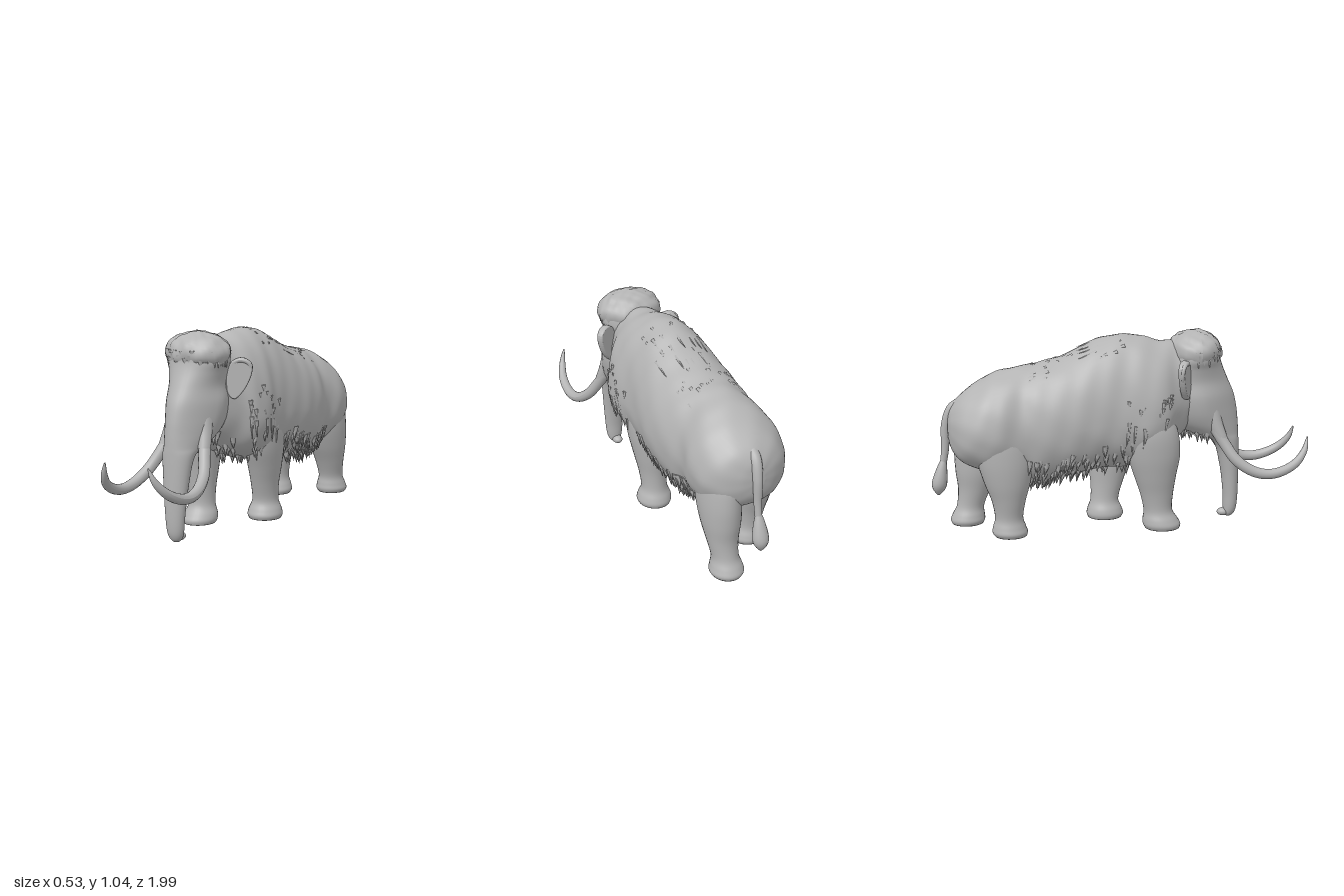
import * as THREE from 'three';
import { mergeGeometries } from 'three/addons/utils/BufferGeometryUtils.js';

const grey = new THREE.MeshStandardMaterial({ color: 0xb4b4b4 });
grey.name = 'stone grey';

let seed = 7;
const rnd = () => (seed = (seed * 16807) % 2147483647) / 2147483647;
const span = (a, b) => a + (b - a) * rnd();

// Smoothly interpolated row of a section table, t in 0..1
function rowAt(rows, t) {
  const n = rows.length - 1, i = Math.min(Math.floor(t * n), n - 1), u = t * n - i;
  const r = k => rows[Math.max(0, Math.min(n, k))];
  return rows[0].map((_, c) => {
    const a = r(i - 1)[c], b = r(i)[c], d = r(i + 1)[c], e = r(i + 2)[c];
    const m = (d - a) / 2, q = (e - b) / 2;
    return b + u * (m + u * (3 * (d - b) - 2 * m - q + u * (2 * (b - d) + m + q)));
  });
}

// Closed loft: point(row, angle) gives each ring vertex, ends are capped
function loft(rows, point, steps = 40, segs = 40) {
  const pos = [], idx = [];
  for (let j = 0; j <= steps; j++) {
    const row = rowAt(rows, j / steps);
    for (let i = 0; i < segs; i++) pos.push(...point(row, (i / segs) * Math.PI * 2));
  }
  for (const j of [0, steps]) {
    const c = [0, 0, 0];
    for (let i = 0; i < segs; i++) for (let k = 0; k < 3; k++) c[k] += pos[(j * segs + i) * 3 + k] / segs;
    pos.push(...c);
  }
  const end = (steps + 1) * segs;
  for (let i = 0; i < segs; i++) {
    const n = (i + 1) % segs;
    for (let j = 0; j < steps; j++) {
      const a = j * segs + i, b = j * segs + n;
      idx.push(a, b, a + segs, b, b + segs, a + segs);
    }
    idx.push(end, n, i, end + 1, steps * segs + i, steps * segs + n);
  }
  // Turn the faces outward if the enclosed volume is negative
  const v = k => new THREE.Vector3().fromArray(pos, k * 3);
  let vol = 0;
  for (let k = 0; k < idx.length; k += 3) vol += v(idx[k]).dot(v(idx[k + 1]).cross(v(idx[k + 2])));
  if (vol < 0) idx.reverse();
  const g = new THREE.BufferGeometry();
  g.setAttribute('position', new THREE.Float32BufferAttribute(pos, 3));
  g.setIndex(idx);
  g.computeVertexNormals();
  return g;
}

// Upright section rows: [y, x, z, halfWidth, halfDepth, frontPinch]
const upright = ([y, x, z, rx, rz, pinch = 0], a) =>
  [x + rx * Math.sin(a) * (1 - pinch * Math.max(0, Math.cos(a))), y, z + rz * Math.cos(a)];

// Body section rows: [z, top, bottom, halfWidth, widestY]
const bodyRows = [
  [0.42, 0.88, 0.66, 0.05, 0.75], [0.36, 0.975, 0.54, 0.13, 0.74], [0.27, 0.99, 0.45, 0.18, 0.68],
  [0.2, 0.995, 0.4, 0.235, 0.62], [0.1, 1.02, 0.36, 0.25, 0.6], [0, 1.03, 0.33, 0.24, 0.6],
  [-0.12, 1.01, 0.33, 0.247, 0.6], [-0.28, 0.935, 0.3, 0.263, 0.58], [-0.44, 0.89, 0.27, 0.255, 0.57],
  [-0.54, 0.875, 0.29, 0.23, 0.56], [-0.65, 0.85, 0.32, 0.248, 0.56], [-0.75, 0.8, 0.35, 0.238, 0.55],
  [-0.84, 0.735, 0.39, 0.185, 0.55], [-0.89, 0.67, 0.45, 0.1, 0.56], [-0.908, 0.61, 0.52, 0.025, 0.56],
];
function bodyPoint([z, top, bottom, w, mid], a) {
  const c = Math.cos(a), s = Math.sin(a), low = c < 0;
  const shaggy = 0.003 * Math.sin(z * 37 + 3 * a) * Math.sin(a * 7 - z * 11);
  const x = Math.sign(s) * (w + shaggy) * Math.pow(Math.abs(s), low ? 0.75 : 1);
  return [x, mid + (low ? mid - bottom : top - mid + shaggy) * c, z];
}

// One pointed lock of hair at p along dir
function lock(p, dir, len, wide) {
  const g = new THREE.ConeGeometry(wide, len, 6, 1);
  g.translate(0, len * 0.3, 0);
  g.applyQuaternion(new THREE.Quaternion().setFromUnitVectors(
    new THREE.Vector3(0, 1, 0), new THREE.Vector3(...dir).normalize()));
  return g.translate(...p);
}

// Tube that narrows along its length by radius(t)
function taper(points, radius, steps = 40) {
  const curve = new THREE.CatmullRomCurve3(points.map(p => new THREE.Vector3(...p)));
  const g = new THREE.TubeGeometry(curve, steps, 1, 16);
  const p = g.attributes.position, v = new THREE.Vector3();
  for (let i = 0; i < p.count; i++) {
    const t = Math.floor(i / 17) / steps, c = curve.getPointAt(t);
    v.fromBufferAttribute(p, i).sub(c).multiplyScalar(radius(t)).add(c);
    p.setXYZ(i, v.x, v.y, v.z);
  }
  g.computeVertexNormals();
  return g;
}

export function createModel() {
  const model = new THREE.Group();
  const add = (name, g) => {
    const m = new THREE.Mesh(g, grey);
    m.name = name;
    model.add(m);
    return m;
  };

  add('body', loft(bodyRows, bodyPoint, 90, 56));

  // Head running down into the trunk: [y, front, back, halfWidth, frontPinch]
  const head = [
    [0.99, 0.49, 0.29, 0.1, 0], [0.95, 0.525, 0.26, 0.155, 0], [0.9, 0.53, 0.25, 0.165, 0],
    [0.85, 0.545, 0.23, 0.148, 0], [0.78, 0.575, 0.21, 0.138, 0.08], [0.7, 0.61, 0.21, 0.152, 0.25],
    [0.62, 0.628, 0.23, 0.147, 0.3], [0.55, 0.636, 0.28, 0.128, 0.22], [0.49, 0.64, 0.38, 0.102, 0.08],
    [0.44, 0.642, 0.5, 0.084, 0], [0.3, 0.645, 0.545, 0.068, 0], [0.15, 0.645, 0.565, 0.054, 0],
    [0.07, 0.64, 0.568, 0.046, 0], [0.03, 0.628, 0.57, 0.034, 0], [0.012, 0.612, 0.578, 0.016, 0],
  ].map(([y, f, b, w, k]) => [y, 0, (f + b) / 2, w, (f - b) / 2, k]);
  add('headAndTrunk', loft(head, upright, 80, 40));
  add('trunkTip', new THREE.SphereGeometry(1, 16, 12).scale(0.028, 0.022, 0.035).translate(0, 0.033, 0.568));

  // Shaggy crown, sloping back to the neck
  const crown = new THREE.SphereGeometry(1, 44, 30), cp = crown.attributes.position;
  for (let i = 0; i < cp.count; i++) {
    const x = cp.getX(i), y = cp.getY(i), z = cp.getZ(i);
    const k = 1 + 0.035 * Math.sin(9 * x + 4 * z) * Math.cos(8 * z + 5 * y) + 0.025 * Math.sin(17 * x) * Math.sin(15 * z);
    cp.setXYZ(i, x * 0.175 * k, 0.935 + y * 0.107 * k, 0.4 + z * (z < 0 ? 0.15 : 0.135) * k);
  }
  crown.computeVertexNormals();
  add('crownHair', crown);
  const fringe = [];
  for (let i = 0; i < 34; i++) {
    const a = -2.1 + (4.2 * i) / 33, s = Math.sin(a), c = Math.cos(a);
    fringe.push(lock([s * 0.155, span(0.9, 0.945), 0.4 + c * 0.118], [s * 0.1, -1, c * 0.1],
      span(0.05, 0.075), 0.021));
  }
  add('fringe', mergeGeometries(fringe));

  // Legs: upright rows, standing in stride
  const frontLeg = [[0.008, 0.12, 0, 0.084, 0.092], [0.03, 0.12, 0, 0.092, 0.1], [0.06, 0.119, -0.003, 0.086, 0.092],
    [0.11, 0.12, -0.005, 0.068, 0.076], [0.2, 0.125, 0.005, 0.07, 0.088], [0.3, 0.132, 0.015, 0.082, 0.112],
    [0.42, 0.138, 0.03, 0.094, 0.14], [0.55, 0.138, 0.04, 0.094, 0.14], [0.7, 0.12, 0.05, 0.07, 0.09]];
  const backLeg = [[0.008, 0.125, 0, 0.076, 0.083], [0.03, 0.125, 0, 0.087, 0.092], [0.06, 0.125, 0.003, 0.08, 0.085],
    [0.11, 0.127, 0.012, 0.068, 0.073], [0.2, 0.13, 0.03, 0.08, 0.088], [0.3, 0.13, 0.045, 0.097, 0.12],
    [0.42, 0.13, 0.06, 0.103, 0.145], [0.55, 0.12, 0.07, 0.1, 0.145], [0.7, 0.1, 0.08, 0.07, 0.09]];
  const leg = (name, rows, side, z, lean) => add(name, loft(
    rows.map(([y, x, dz, rx, rz]) => [y, x * side - 0.01, z + dz + lean * y, rx, rz]), upright, 40, 28));
  leg('frontLegLeft', frontLeg, 1, -0.07, 0.03);
  leg('frontLegRight', frontLeg, -1, 0.205, -0.2);
  leg('backLegLeft', backLeg, 1, -0.815, 0.06);
  leg('backLegRight', backLeg, -1, -0.6, -0.2);

  for (const s of [1, -1]) {
    const side = s > 0 ? 'Left' : 'Right';
    const mirror = points => points.map(([x, y, z]) => [x * s, y, z]);
    // Tusks sweep out, forward and up from a fleshy socket
    const tusk = [[0.105, 0.53, 0.49], [0.125, 0.46, 0.53], [0.165, 0.36, 0.6], [0.188, 0.3, 0.7],
      [0.191, 0.292, 0.8], [0.176, 0.335, 0.91], [0.148, 0.4, 0.97], [0.125, 0.468, 0.992]];
    add('tusk' + side, taper(mirror(tusk), t => 0.031 - 0.007 * t - 0.021 * t ** 8));
    add('tuskSocket' + side, taper(mirror([[0.085, 0.64, 0.47], [0.1, 0.56, 0.49], [0.118, 0.475, 0.523]]),
      t => 0.045 - 0.013 * t, 14));

    // Ear: leaf swept back, with a rolled rim
    const shape = new THREE.Shape();
    shape.moveTo(0, 0.07);
    shape.bezierCurveTo(0.02, 0.12, 0.075, 0.115, 0.092, 0.075);
    shape.bezierCurveTo(0.1, 0.03, 0.06, -0.06, 0.02, -0.09);
    shape.bezierCurveTo(-0.02, -0.09, -0.02, 0.02, 0, 0.07);
    const ear = add('ear' + side, new THREE.ExtrudeGeometry(shape, {
      depth: 0.014, bevelEnabled: true, bevelSize: 0.006, bevelThickness: 0.01, bevelSegments: 4, curveSegments: 12 }));
    ear.position.set(0.142 * s, 0.8, s > 0 ? 0.32 : 0.333);
    ear.rotation.y = s > 0 ? 0.5 : Math.PI - 0.5;
    ear.scale.x = 1.12;
    const rim = [[0.01, 0.08, 0], [0.045, 0.1, 0.01], [0.085, 0.085, 0.01], [0.088, 0.04, 0.004], [0.055, -0.03, 0]];
    add('earRim' + side, taper(rim.map(([x, y, z]) => [s * (0.145 + x), 0.8 + y, 0.328 + z - x * 0.55]),
      t => 0.014 * (1 - 0.5 * t), 20));
  }

  // Tail with a tuft
  add('tail', taper([[0.01, 0.7, -0.82], [0.014, 0.665, -0.88], [0.02, 0.58, -0.915], [0.02, 0.44, -0.925],
    [0.02, 0.33, -0.943]], t => 0.031 - 0.015 * t));
  add('tailTuft', loft([[0.4, 0.02, -0.932, 0.012, 0.012], [0.34, 0.02, -0.945, 0.03, 0.028],
    [0.27, 0.02, -0.958, 0.042, 0.04], [0.23, 0.02, -0.962, 0.032, 0.032], [0.198, 0.02, -0.965, 0.006, 0.006]],
    upright, 16, 16));

  // Locks half sunk in the body surface between two sections
  function coat(name, count, t0, t1, a0, a1, dir, len, wide) {
    const locks = [];
    for (let i = 0; i < count; i++) {
      const a = span(a0, a1) * (i % 2 ? 1 : -1);
      const [x, y, z] = bodyPoint(rowAt(bodyRows, span(t0, t1)), a);
      const d = [dir[0] * Math.sin(a), dir[1], dir[2] + span(-0.12, 0.12)];
      locks.push(lock([x * 0.975, y - 0.008 * Math.cos(a), z], d, span(len * 0.6, len), span(wide * 0.6, wide)));
    }
    add(name, mergeGeometries(locks));
  }
  coat('bellyFringe', 190, 0.46, 0.66, 2.1, 3.1, [0, -1, -0.2], 0.085, 0.022);
  coat('chestFringe', 80, 0.14, 0.46, 2.0, 3.1, [0, -1, -0.05], 0.085, 0.022);
  coat('shoulderHair', 40, 0.18, 0.36, 1.2, 2.0, [0, -1, -0.1], 0.12, 0.014);
  coat('backHair', 50, 0.36, 0.62, 0, 0.7, [0.05, -0.32, -1], 0.13, 0.012);

  // Chin beard
  const beard = [];
  for (let i = 0; i < 26; i++) {
    const z = span(0.32, 0.48);
    beard.push(lock([span(-0.09, 0.09), 0.52 - (z - 0.32) * 0.12, z], [0, -1, 0.05], span(0.05, 0.09), 0.022));
  }
  add('chinBeard', mergeGeometries(beard));
  return model;
}
